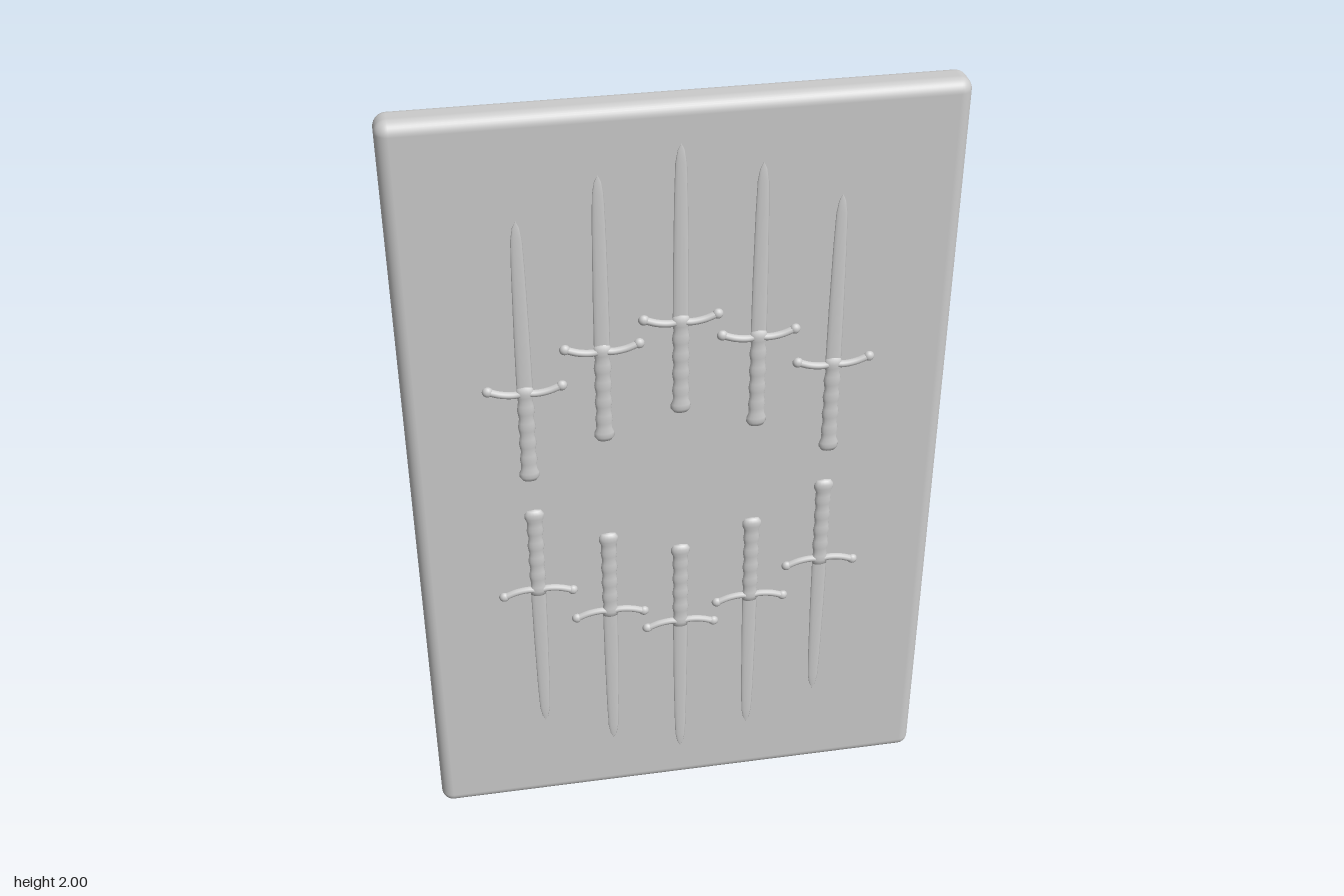
import * as THREE from 'three';
import { RoundedBoxGeometry } from 'three/addons/geometries/RoundedBoxGeometry.js';

const material = new THREE.MeshStandardMaterial({ color: 0xcccccc });
const FRONT_Z = 0.063;

function addPart(parent, name, geometry, position = [0, 0, 0], scale = [1, 1, 1]) {
  const mesh = new THREE.Mesh(geometry, material);
  mesh.name = name;
  mesh.position.set(...position);
  mesh.scale.set(...scale);
  parent.add(mesh);
  return mesh;
}

const lathe = (points, sides) =>
  new THREE.LatheGeometry(points.map(([r, y]) => new THREE.Vector2(r, y)), sides);

// Sword pieces, with the guard at y = 0 and the point up
const bladeGeometry = lathe(
  [[0.019, 0], [0.018, 0.15], [0.0155, 0.32], [0.013, 0.4], [0.008, 0.43], [0, 0.447]], 12);

const gripProfile = [[0, -0.25], [0.017, -0.248], [0.024, -0.238], [0.024, -0.226], [0.019, -0.214]];
for (let i = 0; i <= 16; i++) {
  gripProfile.push([0.019 + 0.0018 * Math.sin(i * Math.PI / 2), -0.2 + i * 0.0118]);
}
gripProfile.push([0.022, 0], [0.018, 0.014], [0, 0.022]);
const gripGeometry = lathe(gripProfile, 16);

const guardCurve = new THREE.CatmullRomCurve3(
  [[-0.085, 0.012], [-0.055, 0.001], [-0.025, -0.003], [0, 0], [0.025, -0.003], [0.055, 0.001], [0.085, 0.012]]
    .map(([x, y]) => new THREE.Vector3(x, y, 0)));
const guardGeometry = new THREE.TubeGeometry(guardCurve, 32, 0.0095, 10);
const knobGeometry = new THREE.SphereGeometry(0.013, 14, 10);

function createSword(x, y, pointDown) {
  const sword = new THREE.Group();
  sword.name = 'sword';
  addPart(sword, 'blade', bladeGeometry, [0, 0, 0], [1, 1, 0.25]);
  addPart(sword, 'grip', gripGeometry, [0, 0, 0], [1, 1, 0.5]);
  addPart(sword, 'guard', guardGeometry);
  for (const side of [-1, 1]) {
    addPart(sword, 'guardKnob', knobGeometry, [side * 0.086, 0.012, 0], [1, 1, 0.85]);
  }
  sword.position.set(x, y, FRONT_Z);
  if (pointDown) sword.rotation.z = Math.PI;
  return sword;
}

export function createModel() {
  const model = new THREE.Group();
  model.name = 'swordCard';

  // Card slab with rounded edges
  addPart(model, 'card', new RoundedBoxGeometry(1.296, 2, 0.087, 4, 0.03), [0, 1, FRONT_Z - 0.0435]);

  // Two arcs of five swords on the front
  const columns = [-0.365, -0.183, 0, 0.183, 0.365];
  const upperGuards = [1.305, 1.4, 1.46, 1.4, 1.305];
  const lowerGuards = [0.715, 0.62, 0.56, 0.62, 0.715];
  columns.forEach((x, i) => {
    model.add(createSword(x, upperGuards[i], false));
    model.add(createSword(x * 0.985, lowerGuards[i], true));
  });

  // Five smooth-shaded flattened diamonds on the back
  const diamondGeometry = new THREE.SphereGeometry(1, 4, 2);
  for (const [x, y] of [[-0.33, 1.53], [0.33, 1.53], [0, 1], [-0.33, 0.47], [0.33, 0.47]]) {
    addPart(model, 'backDiamond', diamondGeometry, [x, y, -0.033], [0.195, 0.353, 0.046]);
  }
  return model;
}
